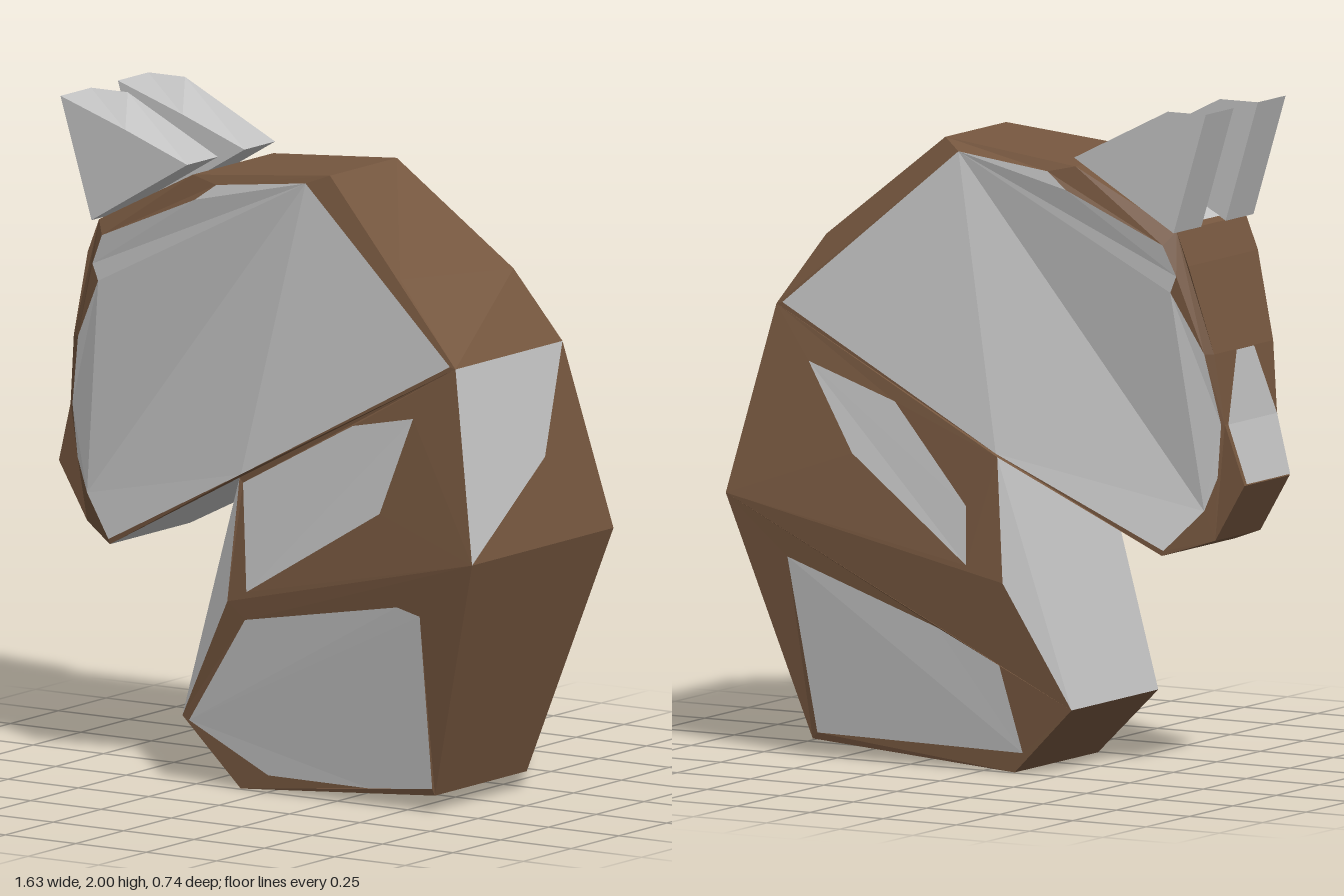
import * as THREE from 'three';

const V2 = (p) => new THREE.Vector2(p[0], p[1]);

// Triangles of one side face; sign picks the +z or -z side of the model
function face(contour, holes, sign) {
  const all = [contour, ...holes].flat();
  const out = [];
  for (const t of THREE.ShapeUtils.triangulateShape(contour.map(V2), holes.map((h) => h.map(V2)))) {
    const [a, b, c] = t.map((i) => all[i]);
    const area = (b[0] - a[0]) * (c[1] - a[1]) - (b[1] - a[1]) * (c[0] - a[0]);
    const tri = area * sign > 0 ? [a, b, c] : [a, c, b];
    out.push(...tri.map((p) => [p[0], p[1], p[2] * sign]));
  }
  return out;
}

// Rim strip between both sides along the chosen edges
function rim(front, back, edges) {
  return edges.flatMap((i) => {
    const j = (i + 1) % front.length;
    const flip = (p) => [p[0], p[1], -p[2]];
    const [a, b, c, d] = [front[i], flip(back[i]), flip(back[j]), front[j]];
    return [a, b, c, a, c, d];
  });
}

function addMesh(group, name, points, material) {
  const g = new THREE.BufferGeometry();
  g.setAttribute('position', new THREE.Float32BufferAttribute(points.flat(), 3));
  g.computeVertexNormals();
  const mesh = new THREE.Mesh(g, material);
  mesh.name = name;
  group.add(mesh);
  return mesh;
}

const fan = (p) => p.slice(2).flatMap((q, i) => [p[0], p[i + 1], q]);

export function createModel() {
  const brown = new THREE.MeshStandardMaterial({ color: 0x76573f, flatShading: true });
  brown.name = 'brown';
  const grey = new THREE.MeshStandardMaterial({ color: 0xc2c2c2, flatShading: true });
  grey.name = 'light grey';
  const model = new THREE.Group();
  model.name = 'horseHead';

  // A brown section with grey panels let into both sides
  function section(name, front, back, frontPanels, backPanels, edges) {
    addMesh(model, name, [
      ...face(front, frontPanels, 1), ...face(back, backPanels, -1), ...rim(front, back, edges),
    ], brown);
    addMesh(model, name + 'Panels', [
      ...frontPanels.flatMap((p) => face(p, [], 1)), ...backPanels.flatMap((p) => face(p, [], -1)),
    ], grey);
  }

  // Head: points are x, y, half width
  const head = [
    [-0.07, 0.94, 0.29], [0.69, 1.34, 0.28], [0.46, 1.577, 0.23], [0.19, 1.855, 0.2],
    [-0.29, 1.81, 0.21], [-0.63, 1.64, 0.2], [-0.67, 1.54, 0.2], [-0.74, 1.28, 0.17],
    [-0.765, 1.07, 0.15], [-0.82, 0.89, 0.13], [-0.72, 0.72, 0.13], [-0.585, 0.675, 0.21],
  ];
  const headBack = head.map((p) => [...p]);
  headBack[2] = [0.55, 1.55, 0.23];
  headBack[3] = [0.19, 1.855, 0.15];
  const cheek = [
    [-0.065, 0.95, 0.29], [0.67, 1.345, 0.28], [0.11, 1.825, 0.21], [-0.2, 1.79, 0.22],
    [-0.27, 1.74, 0.23], [-0.6, 1.6, 0.23], [-0.64, 1.51, 0.22], [-0.62, 1.46, 0.22],
    [-0.715, 1.28, 0.185], [-0.755, 1.07, 0.155], [-0.74, 0.91, 0.15], [-0.7, 0.81, 0.16],
    [-0.59, 0.69, 0.21],
  ];
  section('head', head, headBack, [cheek], [cheek], [1, 2, 3, 4, 5, 6, 7, 8, 9, 10]);
  addMesh(model, 'jawUnderside', rim(head, headBack, [11]), grey);

  // Half width of the neck, widest along the crease between its two sections
  const onNeck = ([x, y]) => {
    const crease = 0.593 + 0.23 * x, wide = 0.317 + 0.066 * x;
    const t = y > crease ? (y - crease) / (0.977 + 0.526 * x - crease) : (crease - y) / (crease - 0.04);
    return [x, y, wide + ((y > crease ? 0.285 : 0.242) - wide) * t];
  };

  // Upper neck
  const upper = [[-0.1, 0.57, 0.31], [0.81, 0.78, 0.37], [0.69, 1.34, 0.28], [-0.07, 0.94, 0.29]];
  section('upperNeck', upper, upper,
    [[[-0.06, 0.925], [0.33, 1.135], [0.55, 1.18], [0.45, 0.89], [-0.03, 0.605]].map(onNeck)],
    [[[0.57, 1.18], [0.28, 1.08], [0.03, 0.79], [0.02, 0.615], [0.41, 0.92]].map(onNeck)], []);

  // Nape: a grey part and a brown part
  const [n0, n1, n2, n3] = [[0.81, 0.78, 0.37], [0.81, 0.78, -0.37], [0.69, 1.34, -0.28], [0.69, 1.34, 0.28]];
  const mid = [0.757, 1.03, -0.09];
  addMesh(model, 'napePanel', fan([mid, n2, n3, n0]), grey);
  addMesh(model, 'nape', fan([mid, n0, n1, n2]), brown);

  // Lower neck and base
  const lower = [
    [-0.3, 0.2, 0.25], [-0.1, 0, 0.24], [0.59, 0.05, 0.24], [0.81, 0.78, 0.37], [-0.1, 0.57, 0.31],
  ];
  section('lowerNeck', lower, lower,
    [[[-0.27, 0.19], [0, 0.05], [0.36, 0.048], [0.585, 0.07], [0.6, 0.6], [0.52, 0.62], [-0.04, 0.52]].map(onNeck)],
    [[[-0.13, 0.06], [0.57, 0.07], [0.62, 0.6], [0.13, 0.42], [-0.07, 0.32]].map(onNeck)], [0, 1, 2]);

  // Throat bridging the hollow of the neck
  const throat = [[-0.07, 0.94, 0.29], [-0.3, 0.2, 0.25], [-0.1, 0.57, 0.31]];
  addMesh(model, 'throat', [
    ...face(throat, [], 1), ...face(throat, [], -1), ...rim(throat, throat, [0]),
  ], grey);

  // Thin plates on nose and forehead
  addMesh(model, 'nosePlate', [
    ...fan([[-0.746, 1.28, -0.05], [-0.746, 1.28, 0.05], [-0.771, 1.07, 0.14], [-0.771, 1.07, -0.14]]),
    ...fan([[-0.771, 1.07, -0.14], [-0.771, 1.07, 0.14], [-0.825, 0.895, 0.125], [-0.825, 0.895, -0.125]]),
  ].reverse().map((p) => p), grey).material.side = THREE.FrontSide;
  const plate = model.getObjectByName('nosePlate').geometry;
  if (plate.attributes.normal.getX(0) > 0) plate.scale(1, 1, -1);
  plate.computeVertexNormals();
  addMesh(model, 'foreheadPlate', fan([
    [-0.39, 1.769, 0.07], [-0.39, 1.769, -0.07], [-0.62, 1.654, -0.07], [-0.62, 1.654, 0.07],
  ]), grey);

  // Ears
  const ear = [[-0.75, 2, 0.08], [-0.64, 1.64, 0.08], [-0.3, 1.84, 0.08], [-0.52, 1.922, 0.08]];
  const earBack = [...ear.slice(0, 3), [-0.62, 2, 0.08]];
  [['leftEar', 0.145], ['rightEar', -0.155]].forEach(([name, z]) => {
    addMesh(model, name, [
      ...face(ear, [], 1), ...face(earBack, [], -1), ...rim(ear, earBack, [0, 1, 2, 3]),
    ], grey).position.z = z;
  });
  return model;
}
